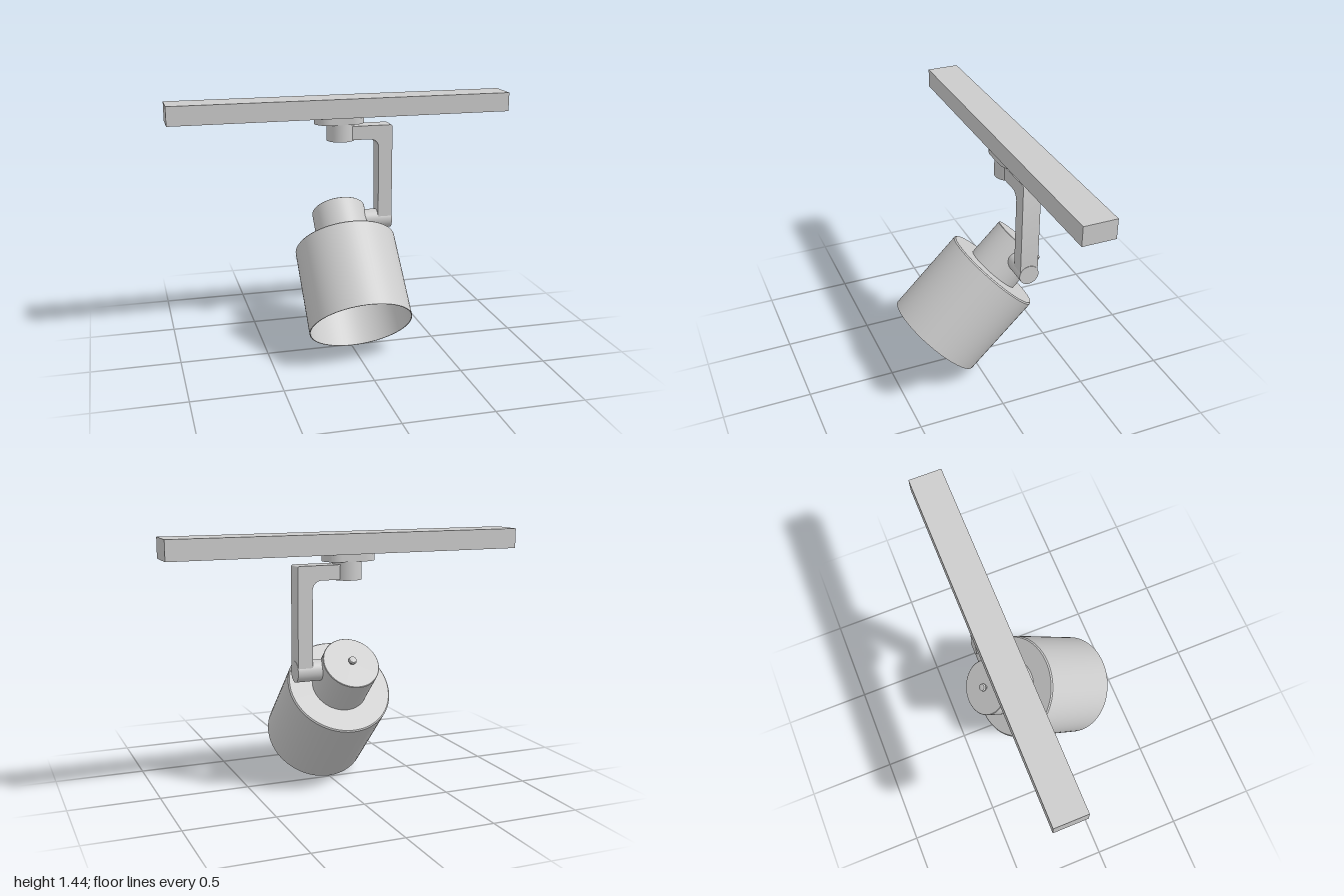
import * as THREE from 'three';
import { toCreasedNormals } from 'three/addons/utils/BufferGeometryUtils.js';

const Z = -0.235; // depth of the track, arm and joint

export function createModel() {
  const model = new THREE.Group();
  const material = new THREE.MeshStandardMaterial({ color: 0xcccccc, side: THREE.DoubleSide });

  const add = (parent, name, geometry, x = 0, y = 0, z = 0) => {
    const mesh = new THREE.Mesh(geometry, material);
    mesh.name = name;
    mesh.position.set(x, y, z);
    parent.add(mesh);
    return mesh;
  };
  const lathe = (points) => toCreasedNormals(
    new THREE.LatheGeometry(points.map(([r, y]) => new THREE.Vector2(r, y)), 64), 0.5);
  const extrude = (shape, depth) => toCreasedNormals(
    new THREE.ExtrudeGeometry(shape, { depth, bevelEnabled: false, curveSegments: 16 }), 0.5);

  // Ceiling track with a shallow recess along its underside
  const track = new THREE.Group();
  track.name = 'track';
  model.add(track);
  add(track, 'trackBody', new THREE.BoxGeometry(2, 0.1, 0.185), 0, 1.39, Z);
  for (const s of [-1, 1]) {
    add(track, 'trackSideLip', new THREE.BoxGeometry(2, 0.01, 0.015), 0, 1.335, Z + s * 0.085);
    add(track, 'trackEndLip', new THREE.BoxGeometry(0.015, 0.01, 0.155), s * 0.9925, 1.335, Z);
  }

  // Adapter plate with rounded ends, and the round connector below it
  const plate = new THREE.Shape();
  plate.absarc(0.065, 0, 0.082, -Math.PI / 2, Math.PI / 2);
  plate.absarc(-0.065, 0, 0.082, Math.PI / 2, Math.PI * 1.5);
  plate.closePath();
  add(model, 'adapterPlate', extrude(plate, 0.05), -0.012, 1.34, Z).rotation.x = Math.PI / 2;
  add(model, 'connector', new THREE.CylinderGeometry(0.08, 0.08, 0.1, 48), -0.005, 1.24, Z);

  // Bent arm with a filleted inner corner
  const arm = new THREE.Shape();
  arm.moveTo(0, 1.275);
  arm.lineTo(0.283, 1.275);
  arm.quadraticCurveTo(0.295, 1.275, 0.295, 1.263);
  arm.lineTo(0.295, 0.7);
  arm.lineTo(0.212, 0.7);
  arm.lineTo(0.212, 1.145);
  arm.absarc(0.162, 1.145, 0.05, 0, Math.PI / 2);
  arm.lineTo(0, 1.195);
  arm.closePath();
  add(model, 'arm', extrude(arm, 0.105), 0, 0, Z - 0.0525);

  // Pivot joining the arm to the lamp neck
  add(model, 'pivot', new THREE.CylinderGeometry(0.058, 0.058, 0.198, 40), 0.198, 0.702, Z)
    .rotation.z = Math.PI / 2;

  // Lamp head, built along its own axis and tilted down to the front
  const head = new THREE.Group();
  head.name = 'lampHead';
  head.position.set(0, 0.21, 0.22);
  head.rotation.x = -Math.PI / 4;
  model.add(head);
  add(head, 'shade', lathe([
    [0, 0.51], [0.288, 0.51], [0.29, 0], [0.295, 0],
    [0.295, 0.515], [0.288, 0.522], [0, 0.522],
  ]));
  add(head, 'neck', lathe([[0, 0.515], [0.158, 0.515], [0.158, 0.753], [0.155, 0.756], [0, 0.756]]));
  add(head, 'rearKnob', lathe([
    [0.012, 0.75], [0.012, 0.768], [0.021, 0.771], [0.023, 0.778], [0.019, 0.788], [0, 0.793],
  ]));

  return model;
}
